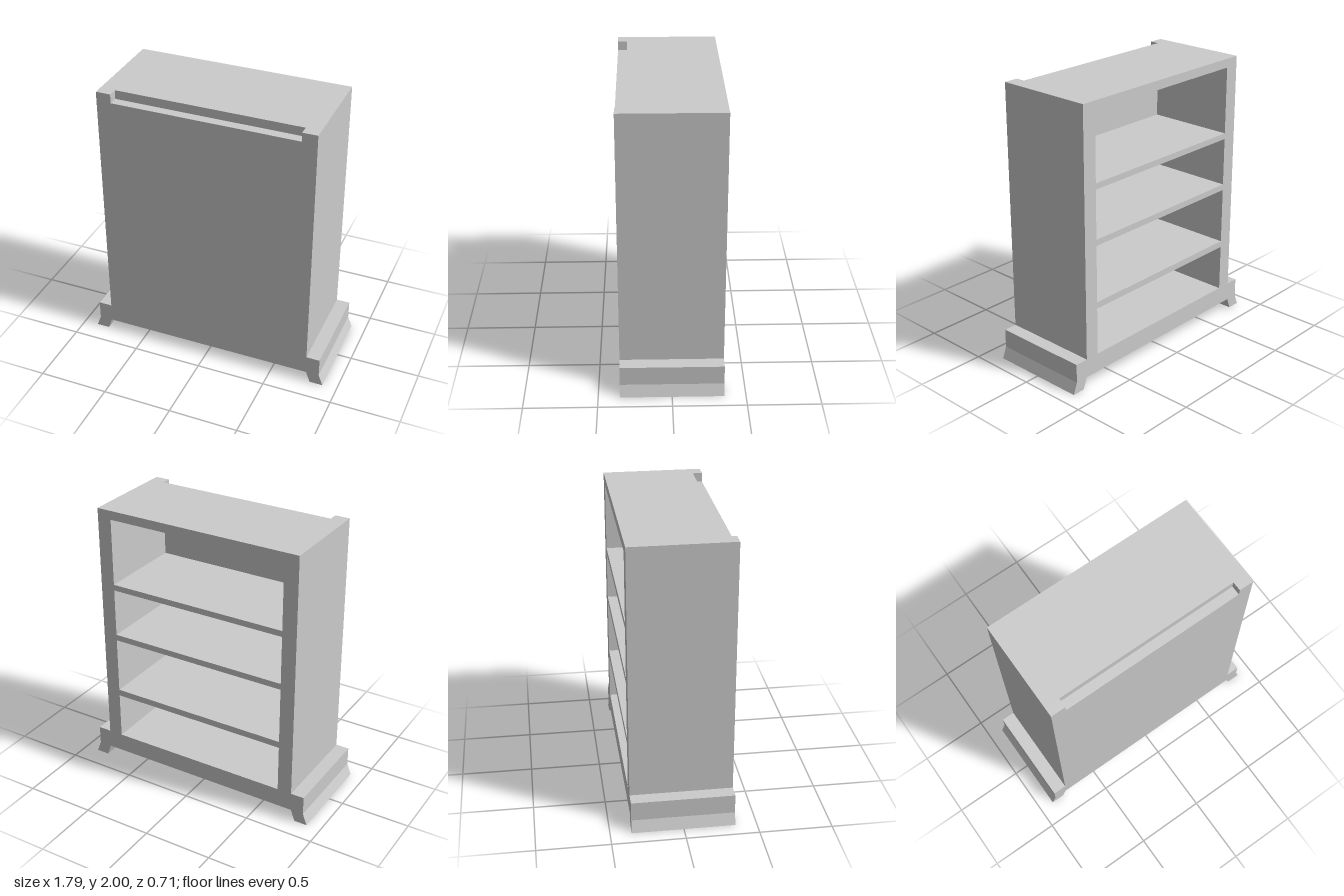
import * as THREE from 'three';

const HALF_WIDTH = 0.767, OPENING = 0.662; // half widths of cabinet and compartments
const TOP = 2, CEILING = 1.936;
const BACK = -0.354, PANEL = 0.287, FRONT = 0.354; // depth positions

// Right half of the silhouette, from the foot up to the top corner
const HALF = [
  [0.77, 0.082], [0.8, 0], [0.895, 0], [0.864, 0.082],
  [0.864, 0.2175], [HALF_WIDTH, 0.2175], [HALF_WIDTH, TOP],
];

// Bottom and top heights of the open compartments
const COMPARTMENTS = [[0.2175, 0.56], [0.607, 1.017], [1.061, 1.41], [1.453, CEILING]];

const toVectors = (points) => points.map(([x, y]) => new THREE.Vector2(x, y));
const mirrored = (points) => points.map(([x, y]) => [-x, y]).reverse();

// Cabinet outline with both feet; extra points go along the top edge
function outline(topEdge = []) {
  return new THREE.Shape(toVectors([...HALF, ...topEdge, ...mirrored(HALF)]));
}

function slab(name, shape, z0, z1, material) {
  const geometry = new THREE.ExtrudeGeometry(shape, { depth: z1 - z0, bevelEnabled: false });
  geometry.translate(0, 0, z0);
  const mesh = new THREE.Mesh(geometry, material);
  mesh.name = name;
  return mesh;
}

export function createModel() {
  const group = new THREE.Group();
  group.name = 'shelfCabinet';
  const material = new THREE.MeshStandardMaterial({ color: 0xcccccc });

  // Carcass with flared feet and shelves, open to the back
  const frame = outline();
  for (const [y0, y1] of COMPARTMENTS) {
    frame.holes.push(new THREE.Path(toVectors([
      [-OPENING, y0], [-OPENING, y1], [OPENING, y1], [OPENING, y0],
    ])));
  }
  group.add(slab('shelfCarcass', frame, BACK, PANEL, material));

  // Closed front with a shallow notch along its top edge
  const notch = [[OPENING, TOP], [OPENING, CEILING], [-OPENING, CEILING], [-OPENING, TOP]];
  group.add(slab('frontPanel', outline(notch), PANEL, FRONT, material));

  return group;
}
